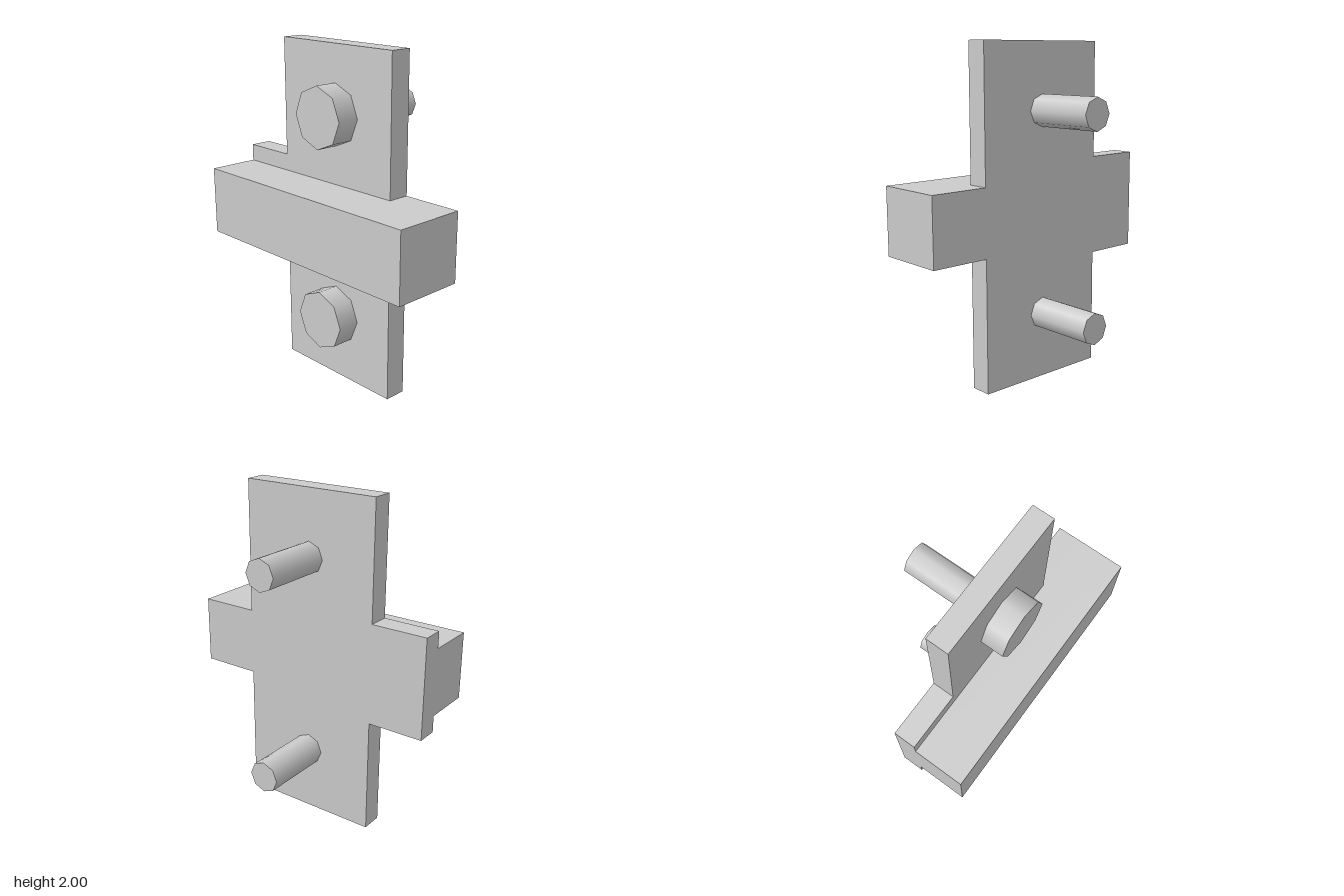
import * as THREE from 'three';

const material = new THREE.MeshStandardMaterial({ color: 0xcccccc });
const PLATE_BACK = -0.13;

function addMesh(parent, name, geometry) {
  const mesh = new THREE.Mesh(geometry, material);
  mesh.name = name;
  parent.add(mesh);
  return mesh;
}

// Eight-sided cylinder lying along x, from x0 to x1
function rodAlongX(radius, x0, x1) {
  return new THREE.CylinderGeometry(radius, radius, x1 - x0, 8)
    .rotateZ(-Math.PI / 2)
    .translate((x0 + x1) / 2, 0, 0);
}

export function createModel() {
  const model = new THREE.Group();
  model.name = 'boltedBracket';

  // Upright plate with a wide rear tab and a narrower front arm, outlined as (z, y)
  const outline = [
    [0.42, 0], [0.42, 0.8], [0.78, 0.8], [0.78, 1.205], [0.42, 1.205], [0.42, 2],
    [-0.44, 2], [-0.44, 1.305], [-0.78, 1.305], [-0.78, 0.7], [-0.44, 0.7], [-0.44, 0],
  ];
  const shape = new THREE.Shape(outline.map(([z, y]) => new THREE.Vector2(-z, y)));
  const plate = new THREE.ExtrudeGeometry(shape, { depth: -PLATE_BACK, bevelEnabled: false });
  plate.rotateY(Math.PI / 2).translate(PLATE_BACK, 0, 0);
  addMesh(model, 'plate', plate);

  // Crossbar running the full depth behind the plate
  const bar = addMesh(model, 'crossbar', new THREE.BoxGeometry(0.3, 0.405, 1.56));
  bar.position.set(-0.28, 1.0025, 0);

  // Two bolts: head on one side of the plate, shank on the other
  [['lowerBolt', 0.4], ['upperBolt', 1.607]].forEach(([name, y]) => {
    const bolt = new THREE.Group();
    bolt.name = name;
    bolt.position.set(0, y, -0.01);
    addMesh(bolt, 'boltHead', rodAlongX(0.178, -0.265, PLATE_BACK));
    addMesh(bolt, 'boltShank', rodAlongX(0.094, 0, 0.43));
    model.add(bolt);
  });

  return model;
}
